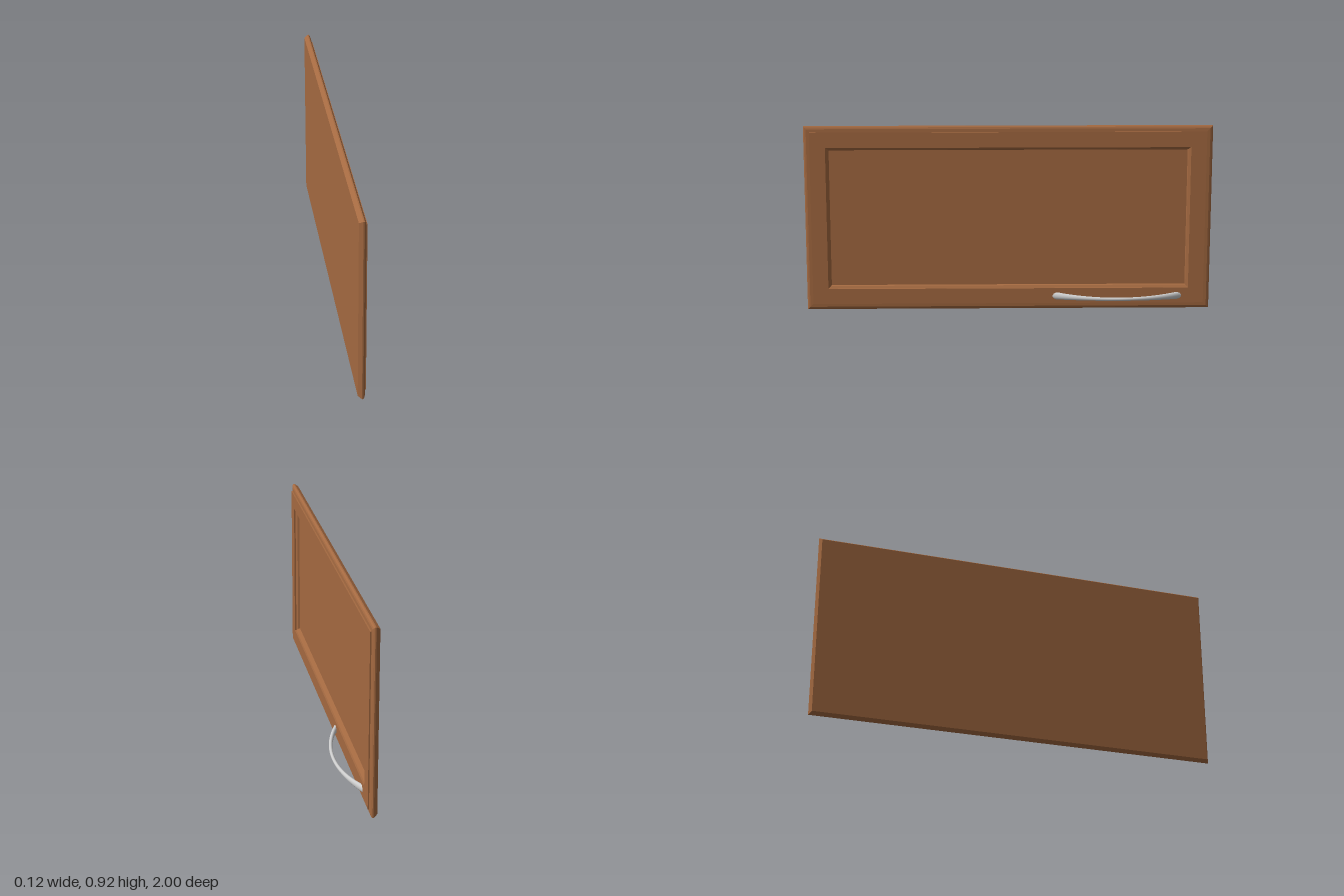
import * as THREE from 'three';
import { mergeVertices } from 'three/addons/utils/BufferGeometryUtils.js';

const HEIGHT = 0.92, LENGTH = 2;

// Sweeps a moulding profile of [inset from the outer edge, x] around the rectangle, with mitred corners
function frameGeometry(profile) {
  const rings = profile.map(([inset, x]) => {
    const y0 = inset, y1 = HEIGHT - inset, z = LENGTH / 2 - inset;
    return [[x, y0, -z], [x, y1, -z], [x, y1, z], [x, y0, z]];
  });
  const positions = [];
  for (let i = 0; i < rings.length - 1; i++) {
    for (let j = 0; j < 4; j++) {
      const k = (j + 1) % 4;
      const a = rings[i][j], b = rings[i][k], c = rings[i + 1][k], d = rings[i + 1][j];
      positions.push(...a, ...b, ...c, ...a, ...c, ...d);
    }
  }
  const geometry = new THREE.BufferGeometry();
  geometry.setAttribute('position', new THREE.Float32BufferAttribute(positions, 3));
  geometry.computeVertexNormals();
  return geometry;
}

// Bends a cylinder into an arc with an oval section that swells toward the feet
function handleGeometry() {
  const radius = 0.657, footAngle = 0.4655, endAngle = 0.5;
  let geometry = new THREE.CylinderGeometry(1, 1, 2, 20, 40, true);
  const p = geometry.attributes.position;
  for (let i = 0; i < p.count; i++) {
    const angle = p.getY(i) * endAngle;
    const swell = Math.min(1, (angle / footAngle) ** 2);
    const r = radius + p.getX(i) * (0.008 + 0.004 * swell);
    const y = p.getZ(i) * (0.008 + 0.01 * swell);
    p.setXYZ(i, 0.05 - radius + r * Math.cos(angle), 0.066 + y, -0.54 - r * Math.sin(angle));
  }
  geometry.deleteAttribute('uv');
  geometry.deleteAttribute('normal');
  geometry = mergeVertices(geometry);
  geometry.computeVertexNormals();
  return geometry;
}

export function createModel() {
  const wood = new THREE.MeshStandardMaterial({ color: 0xa56a41 });
  const metal = new THREE.MeshStandardMaterial({ color: 0xcccccc });
  const model = new THREE.Group();
  model.name = 'cabinetDoor';

  const add = (name, geometry, material) => {
    const mesh = new THREE.Mesh(geometry, material);
    mesh.name = name;
    model.add(mesh);
    return mesh;
  };

  // Frame: flat back, bevelled outer edge, stepped front, moulded opening
  add('frame', frameGeometry([
    [0.11, -0.06], [0.012, -0.06], [0, -0.042], [0, -0.036], [0.006, -0.03],
    [0.014, -0.027], [0.03, -0.026], [0.03, -0.02], [0.106, -0.02],
    [0.106, -0.028], [0.112, -0.032], [0.118, -0.036], [0.121, -0.047],
  ]), wood);

  // Recessed panel, flush with the frame at the back
  const inset = 0.11;
  const panel = add('panel', new THREE.BoxGeometry(0.014, HEIGHT - 2 * inset, LENGTH - 2 * inset), wood);
  panel.position.set(-0.053, HEIGHT / 2, 0);

  // Bow handle near the lower edge
  add('handle', handleGeometry(), metal);

  return model;
}
